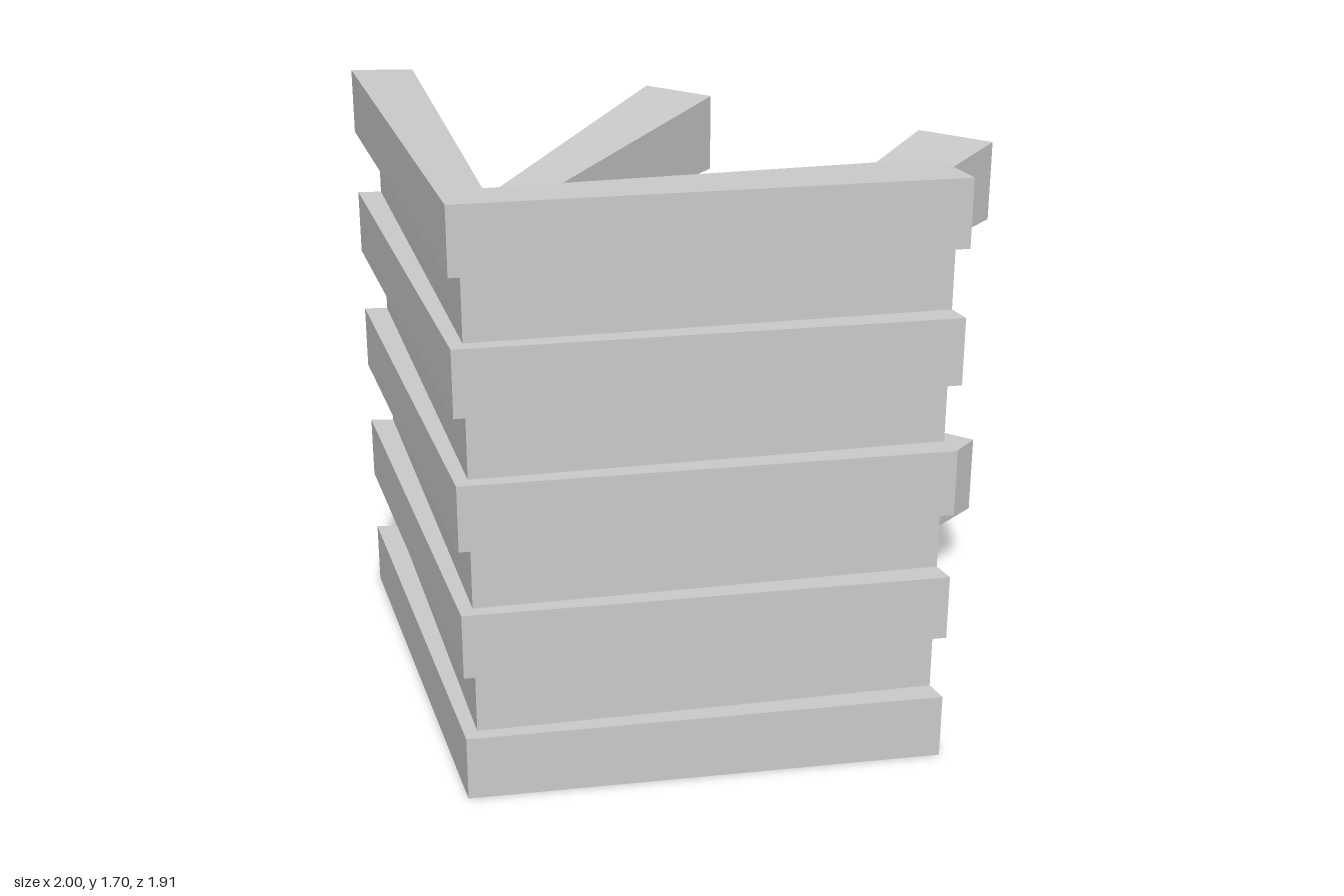
import * as THREE from 'three';

const material = new THREE.MeshStandardMaterial({ color: 0xcccccc, flatShading: true });
const openMaterial = new THREE.MeshStandardMaterial({
  color: 0xcccccc, flatShading: true, side: THREE.DoubleSide,
});

const HEIGHT = 1.7;
const ROWS = 9;

// Upright V-shaped prism: half outline as [x, z], front apex first, back apex last
function chevron(name, half, y, height) {
  const mirrored = half.slice(1, -1).reverse().map(([x, z]) => [-x, z]);
  const outline = [...half, ...mirrored].map(([x, z]) => new THREE.Vector2(x, -z));
  const geometry = new THREE.ExtrudeGeometry(new THREE.Shape(outline), {
    depth: height, bevelEnabled: false,
  });
  geometry.rotateX(-Math.PI / 2);
  const mesh = new THREE.Mesh(geometry, material);
  mesh.name = name;
  mesh.position.y = y;
  return mesh;
}

// Hollow tapered square beam, open at both ends; each end is {x0, x1, y0, y1, z}
function taperedBeam(name, back, front) {
  const corners = (e) => [
    [e.x0, e.y0, e.z], [e.x1, e.y0, e.z], [e.x1, e.y1, e.z], [e.x0, e.y1, e.z],
  ];
  const a = corners(back);
  const b = corners(front);
  const positions = [];
  for (let i = 0; i < 4; i++) {
    const j = (i + 1) % 4;
    for (const p of [a[i], a[j], b[j], a[i], b[j], b[i]]) positions.push(...p);
  }
  // Side walls face outwards
  for (let i = 0; i < positions.length; i += 9) {
    for (let k = 0; k < 3; k++) {
      const swap = positions[i + 3 + k];
      positions[i + 3 + k] = positions[i + 6 + k];
      positions[i + 6 + k] = swap;
    }
  }
  const geometry = new THREE.BufferGeometry();
  geometry.setAttribute('position', new THREE.Float32BufferAttribute(positions, 3));
  geometry.computeVertexNormals();
  const mesh = new THREE.Mesh(geometry, openMaterial);
  mesh.name = name;
  return mesh;
}

export function createModel() {
  const model = new THREE.Group();
  model.name = 'chevronPanel';

  // Continuous folded core, visible in the grooves and on the back
  model.add(chevron('panelCore', [[0, 0.905], [0.943, 0.042], [0.85, -0.02], [0, 0.8]], 0, HEIGHT));

  // Raised slats on every other row
  const row = HEIGHT / ROWS;
  for (let i = 0; i < ROWS; i += 2) {
    model.add(chevron('raisedSlat', [[0, 0.955], [1, 0.08], [0.943, 0.042], [0, 0.905]], i * row, row));
  }

  // Four beams widening towards the back, the lower pair mirroring the upper
  for (const side of [1, -1]) {
    for (const upper of [true, false]) {
      const end = (inner, outer, low, high, z) => ({
        x0: Math.min(side * inner, side * outer),
        x1: Math.max(side * inner, side * outer),
        y0: upper ? low : 1.708 - high,
        y1: upper ? high : 1.708 - low,
        z,
      });
      const name = (upper ? 'upper' : 'lower') + (side > 0 ? 'Left' : 'Right') + 'Beam';
      model.add(taperedBeam(
        name,
        end(0.37, 0.615, 1.225, 1.47, -0.955),
        end(0.389, 0.494, 1.24, 1.357, 0.45),
      ));
    }
  }

  return model;
}
